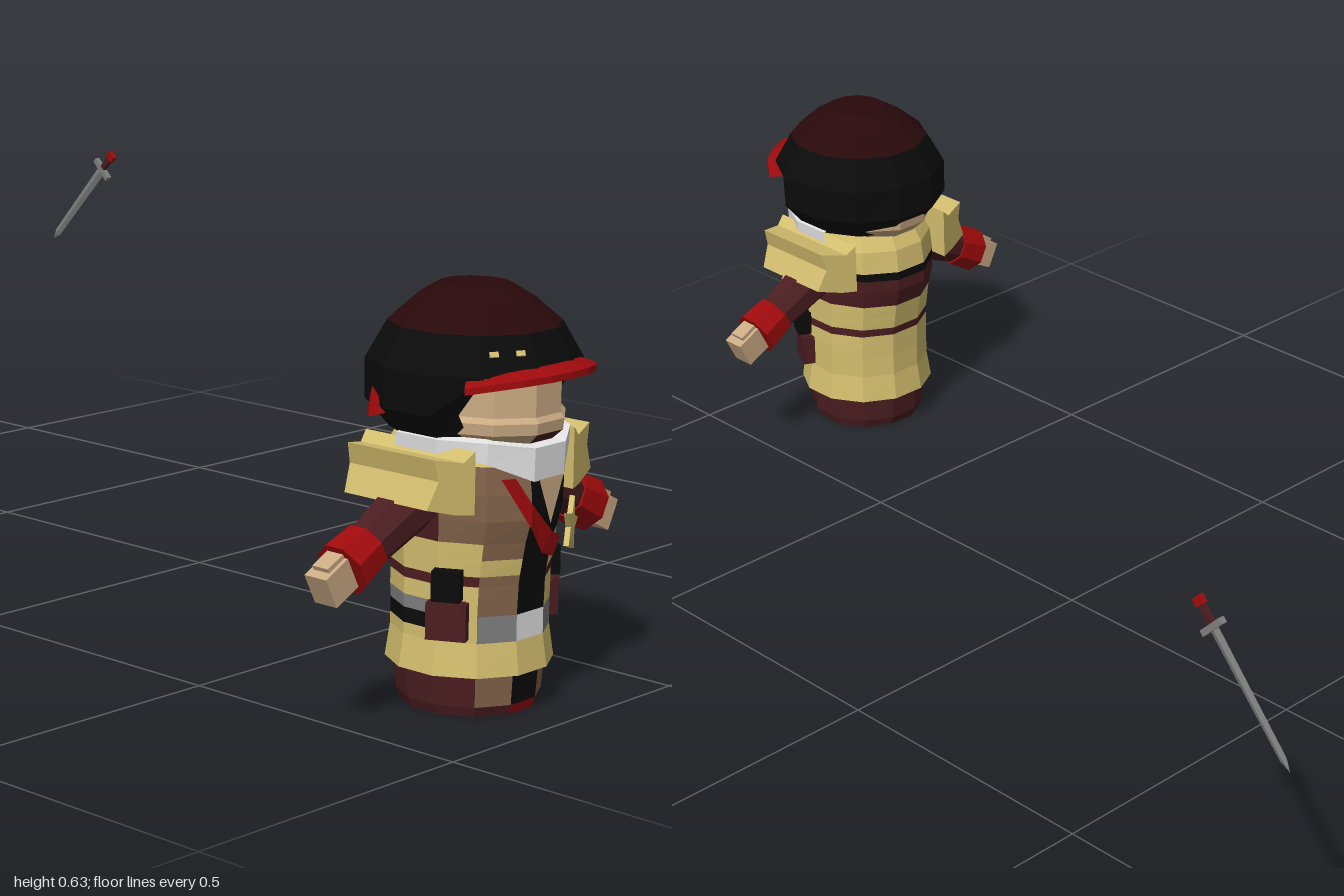
import * as THREE from 'three';

const mat = (name, color) => {
  const m = new THREE.MeshStandardMaterial({ color, flatShading: true, side: THREE.DoubleSide });
  m.name = name;
  return m;
};
const M = {
  B: mat('black cloth', 0x0b0b0b),
  H: mat('dark hat maroon', 0x29090b),
  M: mat('maroon cloth', 0x4b1d20),
  R: mat('red trim', 0x9f0a0c),
  S: mat('skin', 0xcbab83),
  Y: mat('yellow coat', 0xd3be6e),
  N: mat('brown cloth', 0x82634a),
  W: mat('white scarf', 0xe6e6e6),
  G: mat('steel grey', 0x7e7e7e),
};

const SIDES = 12, STEP = Math.PI / 6;

function add(parent, name, geo, key, x = 0, y = 0, z = 0) {
  const m = new THREE.Mesh(geo, M[key]);
  m.name = name;
  m.position.set(x, y, z);
  parent.add(m);
  return m;
}

// Mesh from triangles sorted by colour letter
function paintedMesh(parent, name, buckets) {
  const keys = Object.keys(buckets), pos = [], geo = new THREE.BufferGeometry();
  keys.forEach((k, i) => {
    geo.addGroup(pos.length / 3, buckets[k].length, i);
    buckets[k].forEach(p => pos.push(...p));
  });
  geo.setAttribute('position', new THREE.Float32BufferAttribute(pos, 3));
  geo.computeVertexNormals();
  const m = new THREE.Mesh(geo, keys.map(k => M[k]));
  m.name = name;
  parent.add(m);
}

// Twelve-sided loft. Rows: [y, rx, rz, colours of the band above], one letter
// per side starting at the front and turning towards +x; a space leaves a hole.
function loft(parent, name, rows, { bottom, top, warp = p => p } = {}) {
  const buckets = {};
  const put = (k, ...pts) => (buckets[k] ??= []).push(...pts);
  const pt = (i, k) => {
    const a = (k - 0.5) * STEP, [y, rx, rz] = rows[i];
    return warp([rx * Math.sin(a), y, rz * Math.cos(a)], i, a);
  };
  const n = rows.length - 1;
  for (let k = 0; k < SIDES; k++) {
    for (let i = 0; i < n; i++) {
      const c = rows[i][3].length === 1 ? rows[i][3] : rows[i][3][k];
      if (c === ' ') continue;
      const a = pt(i, k), b = pt(i, k + 1), d = pt(i + 1, k), e = pt(i + 1, k + 1);
      put(c, a, b, e, a, e, d);
    }
    if (bottom) put(bottom, [0, rows[0][0], 0], pt(0, k + 1), pt(0, k));
    if (top) put(top, [0, rows[n][0], 0], pt(n, k), pt(n, k + 1));
  }
  paintedMesh(parent, name, buckets);
}

// Chest panel: [x, y] corners laid just over the front of the coat
function chestPanel(parent, name, key, tris) {
  const lift = ([x, y]) => {
    const over = Math.max(0, Math.abs(x) - 0.036);
    const r = y < 0.265 ? 0.126 + (y - 0.22) * 0.15 : 0.14;
    return [x, y, r - over * 0.5 + 0.003];
  };
  paintedMesh(parent, name, { [key]: tris.map(lift) });
}

function star(points, outer, inner) {
  const s = new THREE.Shape();
  for (let i = 0; i < points * 2; i++) {
    const r = i % 2 ? inner : outer, a = i * Math.PI / points + 0.3;
    s[i ? 'lineTo' : 'moveTo'](r * Math.sin(a), r * Math.cos(a));
  }
  return s;
}

function buildBody(g) {
  loft(g, 'legsAndBoots', [
    [0, 0.102, 0.102, 'RMMMMMMMMMMM'],
    [0.016, 0.108, 0.108, 'BNMMMMMMMMMN'],
    [0.07, 0.112, 0.112],
  ], { bottom: 'M' });
  loft(g, 'coat', [
    [0.065, 0.125, 0.125, 'Y'],
    [0.115, 0.117, 0.118, 'WGYYYYYYYYYG'],
    [0.132, 0.117, 0.118, 'WGYYYYYYBBYG'],
    [0.155, 0.117, 0.118, 'BYYYYYYYGGYN'],
    [0.175, 0.117, 0.119, 'BYYYYYYYYYYN'],
    [0.2, 0.116, 0.12, 'BMMMMMMMMMMN'],
    [0.215, 0.116, 0.122, 'BYYYYYYYYYYY'],
    [0.24, 0.117, 0.127, 'BYYYYYYYYYYN'],
    [0.265, 0.118, 0.132, 'BBMMMMMMMMNN'],
    [0.3, 0.122, 0.143, 'BBYMMMMMMMNN'],
    [0.322, 0.123, 0.143, 'BBYBBBBBBBNN'],
    [0.338, 0.124, 0.143, 'BBYYYYYYYYNN'],
    [0.38, 0.122, 0.137, 'MYYYYYYYYYYY'],
    [0.41, 0.108, 0.118],
  ], { bottom: 'M', top: 'B' });

  // Open collar and diagonal lapel
  chestPanel(g, 'openCollar', 'S', [[-0.024, 0.365], [0.006, 0.29], [0.036, 0.365]]);
  chestPanel(g, 'lapel', 'R', [
    [-0.08, 0.365], [-0.036, 0.288], [-0.036, 0.325], [-0.08, 0.365], [-0.036, 0.325], [-0.06, 0.365],
    [-0.036, 0.288], [0.0, 0.245], [-0.036, 0.325], [-0.036, 0.325], [0.0, 0.245], [0.01, 0.278],
    [0.0, 0.245], [0.028, 0.235], [0.01, 0.278], [0.01, 0.278], [0.028, 0.235], [0.028, 0.268],
  ]);
  add(g, 'chestOrnament', new THREE.ExtrudeGeometry(star(5, 0.042, 0.018),
    { depth: 0.008, bevelEnabled: false }), 'Y', 0.077, 0.272, 0.118).rotation.y = 0.5;

  // Scarf dips to a point at the front
  const dip = [[0.012, 0.045, 4], [0, 0.014, 8], [0, 0.014, 8]];
  loft(g, 'scarf', [
    [0.385, 0.13, 0.148, 'WWWW     WWW'],
    [0.418, 0.132, 0.15, 'WWWW     WWW'],
    [0.422, 0.1, 0.12],
  ], {
    warp: ([x, y, z], i, a) => {
      const [up, down, power] = dip[i];
      return [x, y + up - down * Math.max(0, Math.cos(a)) ** power, z];
    },
  });

  // Pouches on both hips
  for (const s of [-1, 1]) {
    const p = new THREE.Group();
    p.name = s > 0 ? 'leftPouches' : 'rightPouches';
    p.position.set(s * 0.11, 0, 0.05);
    p.rotation.y = s * 1.1;
    g.add(p);
    add(p, 'upperPouch', new THREE.BoxGeometry(0.042, 0.045, 0.034), 'B', 0, 0.203, 0);
    add(p, 'lowerPouch', new THREE.BoxGeometry(0.06, 0.055, 0.022), 'M', 0, 0.149, 0);
    add(p, 'pouchFlap', new THREE.BoxGeometry(0.05, 0.012, 0.028), 'M', 0, 0.172, 0);
  }
}

function buildHead(g) {
  loft(g, 'face', [
    [0.4, 0.09, 0.12, 'MSSSSSSSSSSS'],
    [0.425, 0.113, 0.148, 'S'],
    [0.442, 0.115, 0.15, 'S'],
    [0.45, 0.108, 0.144, 'S'],
    [0.53, 0.108, 0.144],
  ], { top: 'S' });
  const open = '  BBBBBBBBB ';
  loft(g, 'hood', [
    [0.412, 0.12, 0.125, open],
    [0.455, 0.156, 0.162, open],
    [0.515, 0.159, 0.16, 'B'],
    [0.57, 0.126, 0.13, 'H'],
    [0.605, 0.084, 0.09, 'H'],
    [0.626, 0.05, 0.055],
  ], { top: 'H', warp: ([x, y, z], i) => [x, y, i < 2 ? Math.min(z, 0.065) : z] });

  // Red brim across the forehead
  const brim = [], edge = k => {
    const t = k / 4, a = t * 0.95, r = 0.158 + 0.024 * Math.cos(a);
    const at = (rad, y) => [rad * Math.sin(a), y - 0.016 * t * t, rad * Math.cos(a)];
    return [at(0.152, 0.527), at(r, 0.519), at(r, 0.509), at(0.145, 0.509)];
  };
  for (let k = -4; k < 4; k++) {
    const l = edge(k), r = edge(k + 1);
    for (let i = 0; i < 3; i++) brim.push(l[i + 1], r[i + 1], r[i], l[i + 1], r[i], l[i]);
  }
  paintedMesh(g, 'brim', { R: brim });
  const knot = add(g, 'hoodKnot', new THREE.ConeGeometry(0.02, 0.04, 4), 'R', -0.142, 0.465, -0.066);
  knot.rotation.z = 0.3;

  // Small pins on the right of the hood
  const pins = new THREE.Group();
  pins.name = 'hoodPins';
  pins.position.set(-0.069, 0.545, 0.12);
  pins.rotation.set(-0.54, -0.52, 0, 'YXZ');
  g.add(pins);
  for (const x of [-0.022, 0.018]) add(pins, 'pin', new THREE.BoxGeometry(0.013, 0.008, 0.006), 'Y', x, 0, 0);
}

function buildSide(g, s) {
  const side = new THREE.Group();
  side.name = s > 0 ? 'leftSide' : 'rightSide';
  if (s < 0) side.rotation.y = Math.PI;
  side.position.z = -0.005;
  g.add(side);

  // Shoulder guard, narrowing outwards
  const prof = new THREE.Shape([[0.112, 0.315], [0.14, 0.318], [0.186, 0.33], [0.168, 0.37],
    [0.176, 0.402], [0.13, 0.393], [0.112, 0.408]].map(p => new THREE.Vector2(...p)));
  const geo = new THREE.ExtrudeGeometry(prof, { depth: 0.2, bevelEnabled: false }).translate(0, 0, -0.1);
  const p = geo.attributes.position;
  for (let i = 0; i < p.count; i++) p.setZ(i, p.getZ(i) * (1.05 - Math.max(0, p.getX(i) - 0.11) * 3.5));
  add(side, 'shoulderGuard', geo, 'Y');

  // Arm runs out and down along local x
  const arm = new THREE.Group();
  arm.name = 'arm';
  arm.position.set(0.12, 0.325, 0);
  arm.rotation.z = -0.47;
  side.add(arm);
  const tube = (r0, r1, len) => new THREE.CylinderGeometry(r1, r0, len, 8).rotateY(Math.PI / 8).rotateZ(-Math.PI / 2);
  add(arm, 'sleeve', tube(0.046, 0.035, 0.16), 'M', 0.045, 0, 0);
  add(arm, 'cuff', tube(0.039, 0.044, 0.055), 'R', 0.146, 0, 0);
  add(arm, 'hand', new THREE.BoxGeometry(0.05, 0.05, 0.042), 'S', 0.199, 0, 0);
  add(arm, 'thumb', new THREE.BoxGeometry(0.035, 0.016, 0.03), 'S', 0.192, 0.024, 0);
}

function buildSword(root) {
  const g = new THREE.Group();
  g.name = 'sword';
  g.position.set(0.558, 0.58, -0.803);
  g.rotation.set(0.797, 0, 0.068);
  root.add(g);
  add(g, 'pommel', new THREE.BoxGeometry(0.009, 0.014, 0.018), 'R', 0, -0.007, 0);
  add(g, 'grip', new THREE.BoxGeometry(0.008, 0.034, 0.011), 'M', 0, -0.029, 0);
  add(g, 'guard', new THREE.BoxGeometry(0.01, 0.01, 0.05), 'G', 0, -0.048, 0);
  const blade = new THREE.CylinderGeometry(0.01, 0.008, 0.205, 4).scale(0.35, 1, 1);
  add(g, 'blade', blade, 'G', 0, -0.154, 0);
  add(g, 'bladeTip', new THREE.ConeGeometry(0.008, 0.02, 4).rotateX(Math.PI).scale(0.35, 1, 1), 'G', 0, -0.266, 0);
}

export function createModel() {
  const root = new THREE.Group();
  root.name = 'model';
  const figure = new THREE.Group();
  figure.name = 'figure';
  figure.position.set(-0.253, 0, 0.819);
  root.add(figure);
  buildBody(figure);
  buildHead(figure);
  for (const s of [1, -1]) buildSide(figure, s);
  buildSword(root);
  return root;
}
